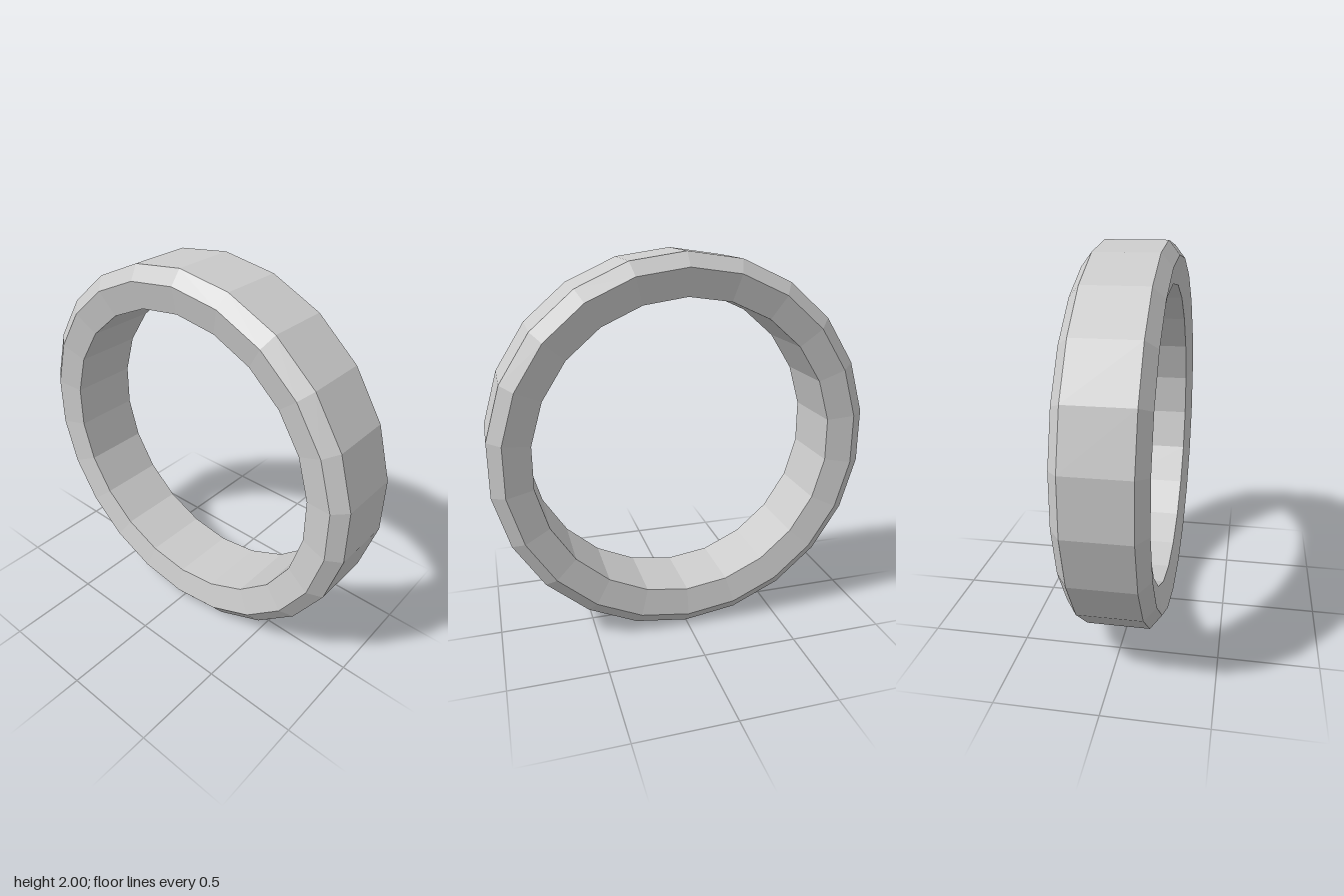
import * as THREE from 'three';

export function createModel() {
  const group = new THREE.Group();
  group.name = 'ringModel';

  // Closed cross-section (radius, depth): tread, bevels, dished side faces, inner wall
  const half = [[1, 0.16], [0.93, 0.215], [0.79, 0.185]];
  const front = half.map(([r, z]) => new THREE.Vector2(r, z));
  const back = half.map(([r, z]) => new THREE.Vector2(r, -z)).reverse();
  const profile = [...back, ...front, back[0].clone()];

  // Faceted ring of 22 sides, turned upright with a corner at top and bottom
  const geometry = new THREE.LatheGeometry(profile, 22);
  geometry.rotateX(Math.PI / 2);
  geometry.translate(0, 1, 0);

  const ring = new THREE.Mesh(
    geometry,
    new THREE.MeshStandardMaterial({ color: 0xcccccc, flatShading: true })
  );
  ring.name = 'ring';
  group.add(ring);
  return group;
}
